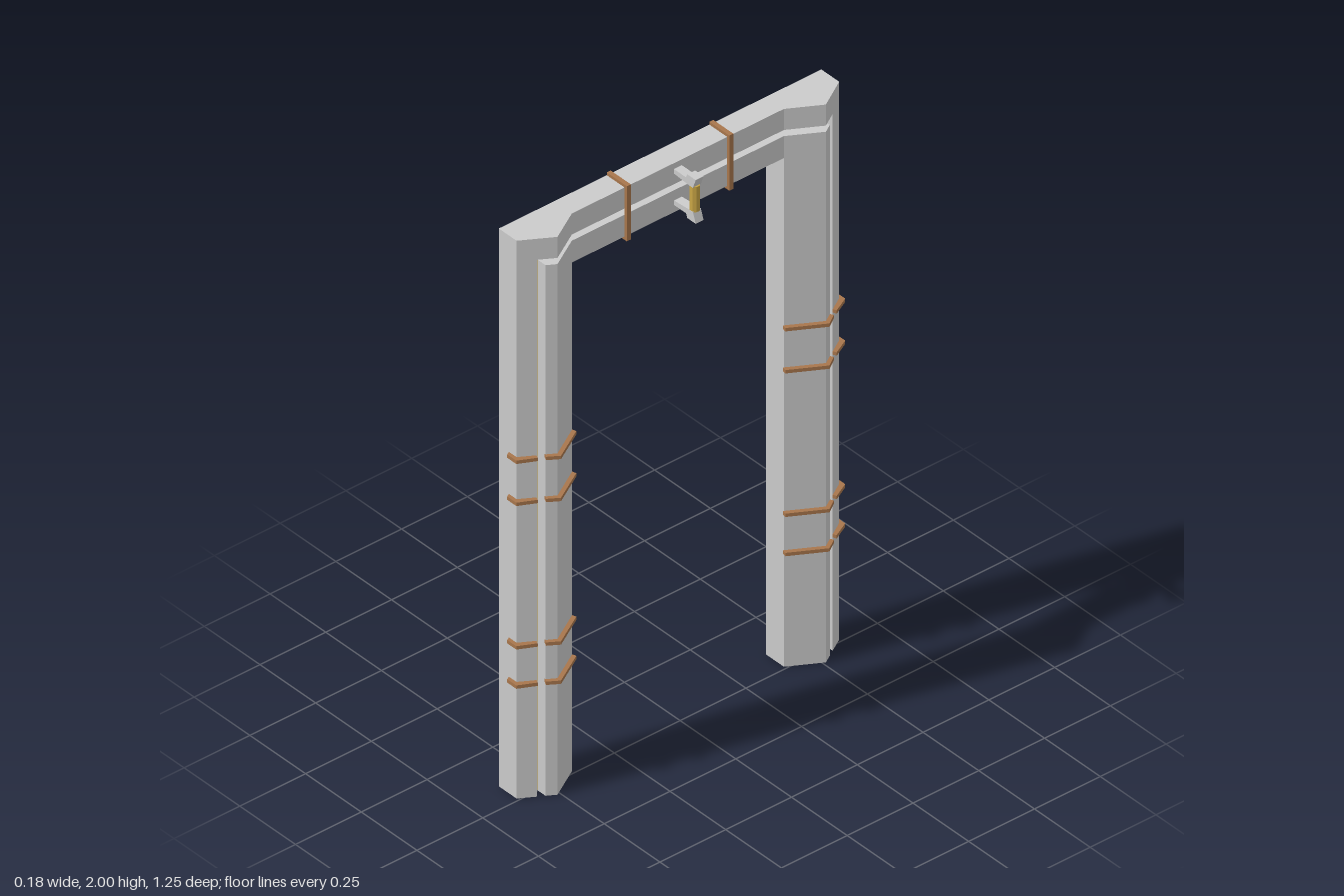
import * as THREE from 'three';

const grey = new THREE.MeshStandardMaterial({ color: 0xcccccc });
const sheet = new THREE.MeshStandardMaterial({ color: 0xcccccc, side: THREE.DoubleSide });
const gold = new THREE.MeshStandardMaterial({ color: 0xc9a545 });
const goldSheet = new THREE.MeshStandardMaterial({ color: 0xc9a545, side: THREE.DoubleSide });
const brown = new THREE.MeshStandardMaterial({ color: 0xa8764c });

const BACK = -0.09, FACE = -0.01, PEAK = 0.052;
const OUT = 0.613, MID = 0.51, IN = 0.403;        // post edges and ridge in z
const G0 = 0.54, G1 = 0.562, H0 = 1.893, H1 = 1.915; // groove edges
const TOP = 1.99, SOFFIT = 1.815, DEPTH = 0.037;

// Front surface of the frame: flat lintel, ridged posts
function frontX(z) {
  const a = Math.abs(z);
  if (a <= IN) return FACE;
  const t = a < MID ? (a - IN) / (MID - IN) : (OUT - a) / (OUT - MID);
  return FACE + (PEAK - FACE) * t;
}

// Points along the front at height y, from z = a to z = b, set back by d
function line(y, a, b, d = 0) {
  const zs = [a, ...[-MID, -IN, IN, MID].filter((z) => z > a && z < b), b];
  return zs.map((z) => [frontX(z) - d, y, z]);
}

// Flat-shaded strip of quads between two rows of points
function strip(rowA, rowB) {
  const p = [];
  for (let i = 0; i < rowA.length - 1; i++) {
    const [a, b, c, d] = [rowA[i], rowA[i + 1], rowB[i + 1], rowB[i]];
    p.push(...a, ...c, ...b, ...a, ...d, ...c);
  }
  const g = new THREE.BufferGeometry();
  g.setAttribute('position', new THREE.Float32BufferAttribute(p, 3));
  g.computeVertexNormals();
  return g;
}

function shapeOf(points) {
  return new THREE.Shape(points.map(([x, y]) => new THREE.Vector2(x, y)));
}

function extrude(points, depth) {
  return new THREE.ExtrudeGeometry(shapeOf(points), { depth, bevelEnabled: false });
}

export function createModel() {
  const model = new THREE.Group();
  const add = (name, geometry, material) => {
    const mesh = new THREE.Mesh(geometry, material);
    mesh.name = name;
    model.add(mesh);
    return mesh;
  };
  // Vertical wall at constant z
  const wall = (z, x0, x1, y0, y1) =>
    strip([[x0, y0, z], [x1, y0, z]], [[x0, y1, z], [x1, y1, z]]);

  // Lintel: front above and below the groove, top cap, soffit
  add('lintelUpperFront', strip(line(H1, -OUT, OUT), line(TOP, -OUT, OUT)), sheet);
  add('lintelLowerFront', strip(line(SOFFIT, -IN, IN), line(H0, -IN, IN)), sheet);
  add('lintelSoffit', strip(
    [[BACK, SOFFIT, -IN], [BACK, SOFFIT, IN]],
    [[FACE, SOFFIT, -IN], [FACE, SOFFIT, IN]]), sheet);
  const outline = [[BACK, -OUT], ...line(0, -OUT, OUT).map(([x, , z]) => [x, z]), [BACK, OUT]];
  const cap = add('topCap', new THREE.ShapeGeometry(shapeOf(outline)).rotateX(Math.PI / 2), sheet);
  cap.position.y = TOP;

  // Lintel groove walls with the inlay channel behind them
  add('lintelGrooveTop', strip(line(H1, -G1, G1), line(H1, -G1, G1, DEPTH)), sheet);
  add('lintelGrooveBottom', strip(line(H0, -G0, G0), line(H0, -G0, G0, DEPTH)), sheet);
  add('lintelInlay', strip(line(H0, -G1, G1, DEPTH), line(H1, -G1, G1, DEPTH)), goldSheet);
  const e = 0.002;
  add('lintelInlayTop', strip(line(H1 + e, -G1, G1, e), line(H1 + e, -G1, G1, DEPTH)), goldSheet);
  add('lintelInlayBottom', strip(line(H0 - e, -G0, G0, e), line(H0 - e, -G0, G0, DEPTH)), goldSheet);

  for (const s of [1, -1]) {
    const side = s > 0 ? 'front' : 'rear';
    const span = (y, a, b, d) => (s > 0 ? line(y, a, b, d) : line(y, -b, -a, d));

    // Post sheets, open at the back and the foot
    add(side + 'PostOuterStrip', strip(span(0, G1, OUT), span(H1, G1, OUT)), sheet);
    add(side + 'PostInnerStrip', strip(span(0, IN, G0), span(H0, IN, G0)), sheet);
    add(side + 'PostOuterWall', wall(s * OUT, BACK, FACE, 0, TOP), sheet);
    add(side + 'PostInnerWall', wall(s * IN, BACK, FACE, 0, SOFFIT), sheet);

    // Post groove and inlay channel
    const x0 = frontX(G0), x1 = frontX(G1);
    add(side + 'GrooveInnerWall', wall(s * G0, x0 - DEPTH, x0, 0, H0), sheet);
    add(side + 'GrooveOuterWall', wall(s * G1, x1 - DEPTH, x1, 0, H1), sheet);
    add(side + 'Inlay', strip(span(0, G0, G1, DEPTH), span(H0, G0, G1, DEPTH)), goldSheet);
    add(side + 'InlayInnerSide', wall(s * (G0 - e), x0 - DEPTH, x0 - e, 0, H0), goldSheet);
    add(side + 'InlayOuterSide', wall(s * (G1 + e), x1 - DEPTH, x1 - e, 0, H1), goldSheet);

    // Post straps, broken at the groove
    const ridge = [[FACE, 0.4], [0.003, 0.397], [0.068, 0.51], [0.044, 0.547], [0.03, 0.54], [0.05, 0.51], [FACE, 0.41]];
    const corner = [[0.032, 0.568], [0.003, 0.625], [-0.038, 0.625], [-0.045, 0.612], [-0.01, 0.612], [0.018, 0.562]];
    for (const y of [0.41, 0.55, 1.062, 1.212]) {
      for (const [name, pts] of [['RidgeStrap', ridge], ['CornerStrap', corner]]) {
        const g = extrude(pts.map(([x, z]) => [x, s * z]), 0.012).rotateX(Math.PI / 2);
        add(side + name, g, brown).position.y = y + 0.006;
      }
    }

    // Lintel strap wrapping top, front and bottom
    const clip = [[BACK, 2], [0, 2], [0, 1.803], [BACK, 1.803], [BACK, SOFFIT], [FACE, SOFFIT], [FACE, TOP], [BACK, TOP]];
    add(side + 'LintelStrap', extrude(clip, 0.015), brown).position.z = s * 0.195 - 0.0075;

    // Lamp bracket arm, mirrored about the lamp centre
    const arm = [[FACE, 0.048], [0.06, 0.043], [0.075, 0.043], [0.088, 0.078], [0.05, 0.078], [0.044, 0.064], [FACE, 0.064]];
    const bracket = extrude(arm.map(([x, y]) => [x, s * y]), 0.03);
    add(s > 0 ? 'upperBracket' : 'lowerBracket', bracket, grey).position.set(0, 1.905, -0.015);
  }

  // Lamp tube
  const lamp = new THREE.CylinderGeometry(0.016, 0.016, 0.09, 8).rotateY(Math.PI / 8).toNonIndexed();
  lamp.computeVertexNormals();
  add('lamp', lamp, gold).position.set(0.066, 1.905, 0);

  return model;
}
